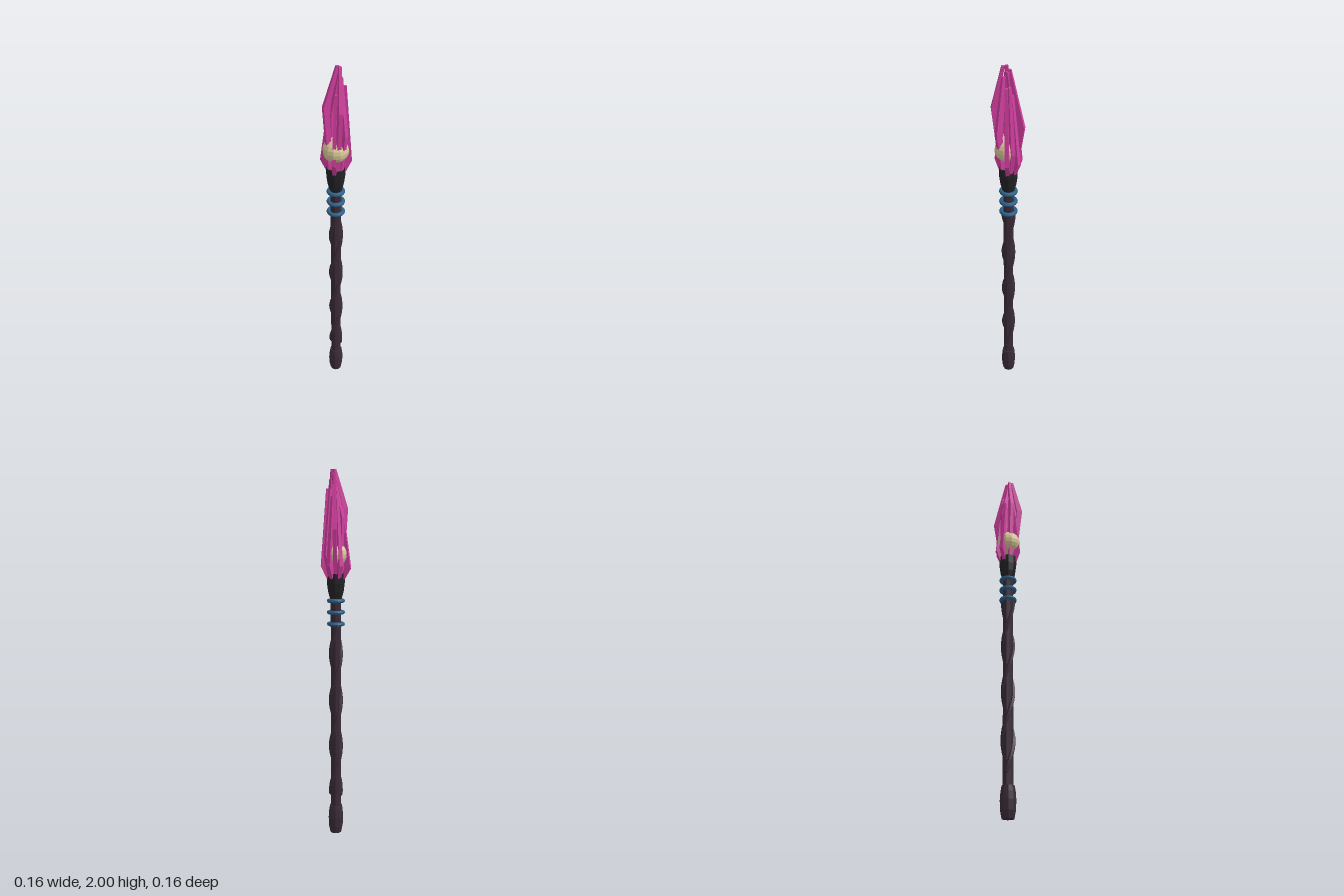
import * as THREE from 'three';

const flat = (color) => new THREE.MeshStandardMaterial({ color, flatShading: true });
const wood = flat(0x3a2c38);
const iron = flat(0x232326);
const blue = flat(0x2c5f88);
const bone = flat(0xd9c998);
const crystal = flat(0xd13f9f);

function add(parent, name, geometry, material, y = 0, z = 0) {
  const mesh = new THREE.Mesh(geometry, material);
  mesh.name = name;
  mesh.position.set(0, y, z);
  parent.add(mesh);
  return mesh;
}

// Closed turned part from [radius, height] pairs
const turned = (pairs, sides) =>
  new THREE.LatheGeometry(pairs.map(([r, y]) => new THREE.Vector2(r, y)), sides);

// Two-segment shard: leaves the socket, bends at (bx, by, bz), ends at (tx, ty, tz)
function shardGeometry(bx, by, bz, tx, ty, tz) {
  const r = Math.hypot(bx, bz), ux = bx / r, uz = bz / r;
  const levels = [
    { x: ux * 0.042, y: 1.42, z: uz * 0.042, wide: 0.018, deep: 0.02 },
    { x: bx, y: by, z: bz, wide: 0.021, deep: 0.032 },
    { x: tx, y: ty, z: tz, wide: 0.013, deep: 0.014 },
  ];
  const geo = new THREE.BoxGeometry(1, 1, 1, 1, 2, 1);
  const p = geo.attributes.position;
  for (let i = 0; i < p.count; i++) {
    const l = levels[Math.round((p.getY(i) + 0.5) * 2)];
    const side = p.getX(i) * l.wide;
    const out = (p.getZ(i) - 0.5) * l.deep;
    p.setXYZ(i, l.x + uz * side + ux * out, l.y, l.z - ux * side + uz * out);
  }
  geo.computeVertexNormals();
  return geo;
}

export function createModel() {
  const staff = new THREE.Group();
  staff.name = 'staff';

  // Shaft and foot
  add(staff, 'shaft', new THREE.CylinderGeometry(0.028, 0.028, 1.26, 8), wood, 0.75);
  add(staff, 'foot', turned([[0, 0], [0.032, 0], [0.04, 0.04], [0.042, 0.09],
    [0.039, 0.13], [0.034, 0.16], [0, 0.16]], 10), wood);

  // Pair of vines wound around the shaft
  for (const phase of [0, Math.PI]) {
    const points = [];
    for (let i = 0; i <= 32; i++) {
      const y = 0.225 + (0.95 * i) / 32;
      const a = Math.PI / 2 + ((y - 1.02) / 0.52) * Math.PI * 2 + phase;
      points.push(new THREE.Vector3(Math.sin(a) * 0.027, y, Math.cos(a) * 0.027));
    }
    const path = new THREE.CatmullRomCurve3(points);
    const vine = add(staff, 'vine', new THREE.TubeGeometry(path, 48, 0.012, 6), wood);
    // End caps
    for (const end of [points[0], points[32]]) {
      const cap = add(staff, 'vineEnd', new THREE.IcosahedronGeometry(0.012, 0), wood);
      cap.position.copy(end);
    }
  }

  // Rings below the socket
  for (const y of [1.19, 1.253, 1.315]) {
    const ring = add(staff, 'ring', new THREE.TorusGeometry(0.038, 0.011, 8, 20), blue, y);
    ring.rotation.x = Math.PI / 2;
  }

  // Socket holding the head
  add(staff, 'socket', turned([[0, 1.325], [0.032, 1.325], [0.043, 1.365], [0.049, 1.41],
    [0.05, 1.46], [0.04, 1.46], [0.036, 1.43], [0, 1.43]], 10), iron);

  // Orb
  add(staff, 'orb', new THREE.SphereGeometry(0.067, 12, 10), bone, 1.56, 0.004);

  // Shards around the orb: bend point, then tip
  const head = new THREE.Group();
  head.name = 'crystalHead';
  staff.add(head);
  [
    [0, 1.69, -0.083, 0.005, 1.98, -0.015],
    [0.036, 1.5, -0.07, 0.02, 1.86, -0.03],
    [0.056, 1.56, -0.045, 0.032, 1.9, -0.02],
    [0.078, 1.5, -0.018, 0.05, 1.9, -0.006],
    [0.06, 1.66, 0.045, 0.032, 1.95, 0.02],
    [0.038, 1.79, 0.075, 0.025, 2.0, 0.025],
    [-0.056, 1.8, 0.04, 0.002, 2.0, 0.01],
    [-0.08, 1.49, -0.02, -0.036, 1.82, -0.01],
    [-0.034, 1.5, -0.062, -0.012, 1.87, -0.03],
    [-0.042, 1.75, -0.03, 0.008, 1.97, -0.005],
    [0, 1.5, 0.07, 0.005, 1.86, 0.03],
  ].forEach((s) => add(head, 'shard', shardGeometry(...s), crystal));

  return staff;
}
